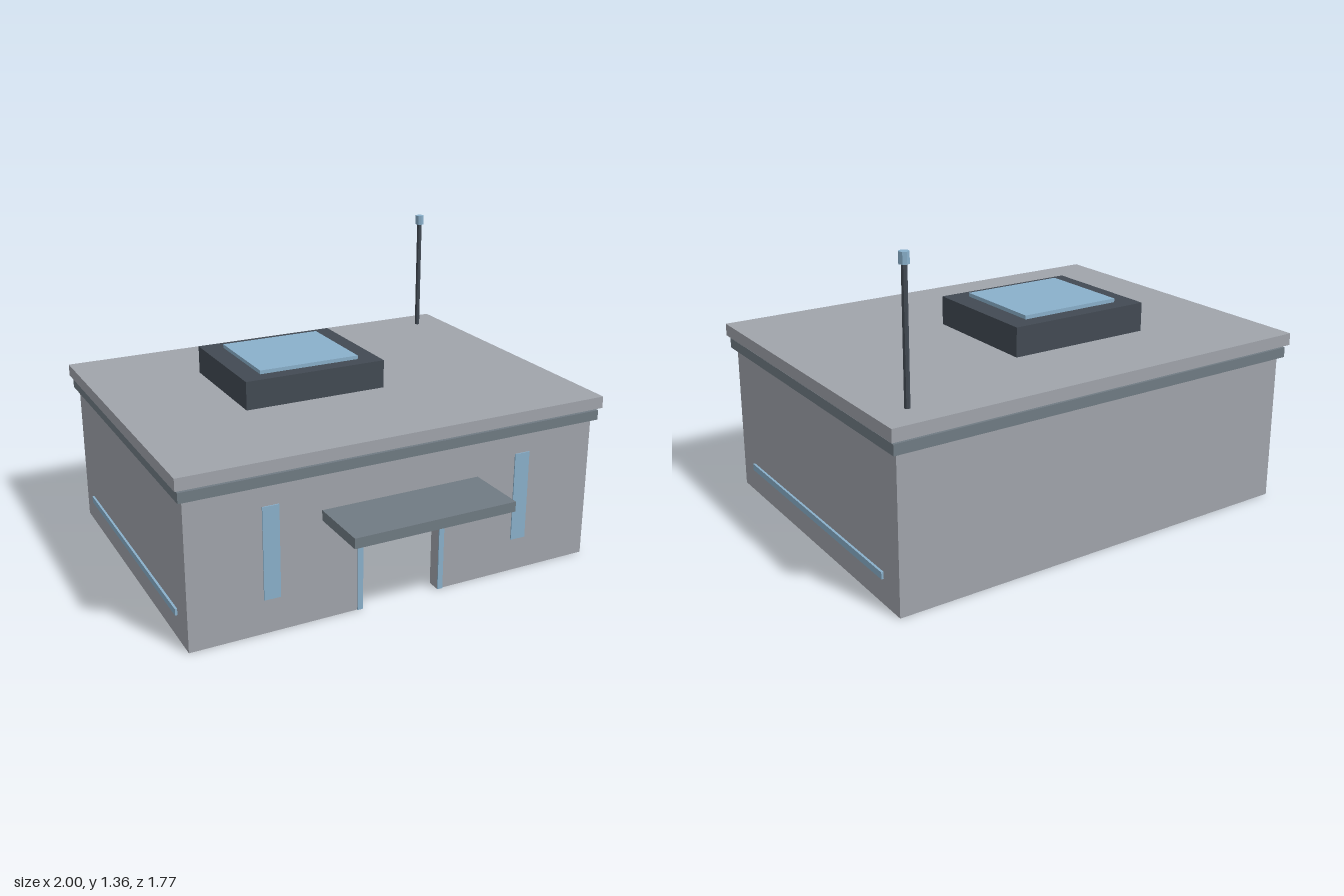
import * as THREE from 'three';

export function createModel() {
  const model = new THREE.Group();
  model.name = 'building';

  const mat = (name, color) => {
    const m = new THREE.MeshStandardMaterial({ color });
    m.name = name;
    return m;
  };
  const wall = mat('wallGrey', 0xa0a4ab);
  const trim = mat('trimGrey', 0x707b83);
  const dark = mat('darkSlate', 0x424a53);
  const blue = mat('paleBlue', 0x8ab0cb);

  const add = (name, geometry, material) => {
    const mesh = new THREE.Mesh(geometry, material);
    mesh.name = name;
    model.add(mesh);
    return mesh;
  };
  // Box given by its limits on each axis
  const box = (name, material, [x0, x1], [y0, y1], [z0, z1]) =>
    add(name, new THREE.BoxGeometry(x1 - x0, y1 - y0, z1 - z0), material)
      .position.set((x0 + x1) / 2, (y0 + y1) / 2, (z0 + z1) / 2);

  const W = 0.965, H = 0.665, T = 0.06, FRONT = 0.6, BACK = -0.85;
  const DOOR = 0.185, DOOR_H = 0.4;

  // Outline of a wall with a doorway cut up from the ground
  const archway = (w, h, dw, dh) => new THREE.Shape(
    [[-w, 0], [-dw, 0], [-dw, dh], [dw, dh], [dw, 0], [w, 0], [w, h], [-w, h]]
      .map(([x, y]) => new THREE.Vector2(x, y)));
  const extrude = (shape, depth) =>
    new THREE.ExtrudeGeometry(shape, { depth, bevelEnabled: false });

  // Hollow shell, open underneath
  add('frontWall', extrude(archway(W, H, DOOR, DOOR_H), T), wall).position.z = FRONT - T;
  box('backWall', wall, [-W, W], [0, H], [BACK, BACK + T]);
  for (const [side, s] of [['left', 1], ['right', -1]]) {
    const span = (a, b) => [Math.min(a * s, b * s), Math.max(a * s, b * s)];
    box(side + 'Wall', wall, span(W - T, W), [0, H], [BACK + T, FRONT - T]);
    box(side + 'LightStrip', blue, span(W, 0.975), [0.11, 0.14], [-0.73, 0.48]);
    box(side + 'Window', blue, span(0.563, 0.637), [0.155, 0.57], [FRONT, FRONT + 0.005]);
  }

  // Door surround and canopy
  add('doorFrame', extrude(archway(0.21, 0.425, DOOR, DOOR_H), 0.005), blue).position.z = FRONT;
  box('canopy', trim, [-0.373, 0.373], [0.455, 0.5], [FRONT, 0.885]);

  // Cornice and roof slab with a narrow shadow gap between
  box('cornice', trim, [-0.987, 0.987], [H, 0.71], [-0.872, 0.622]);
  box('roofSlab', wall, [-1, 1], [0.722, 0.776], [-0.885, 0.633]);

  // Skylight
  box('skylightBase', dark, [-0.48, 0.19], [0.71, 0.905], [-0.49, 0.085]);
  box('skylightGlass', blue, [-0.385, 0.093], [0.905, 0.922], [-0.417, 0.017]);

  // Antenna mast with beacon
  add('mast', new THREE.CylinderGeometry(0.012, 0.012, 0.605, 8).toNonIndexed(), dark)
    .position.set(0.852, 1.0125, -0.74);
  add('beacon', new THREE.CylinderGeometry(0.021, 0.021, 0.046, 8).toNonIndexed(), blue)
    .position.set(0.852, 1.338, -0.74);
  for (const name of ['mast', 'beacon']) {
    model.getObjectByName(name).geometry.computeVertexNormals();
  }

  return model;
}
